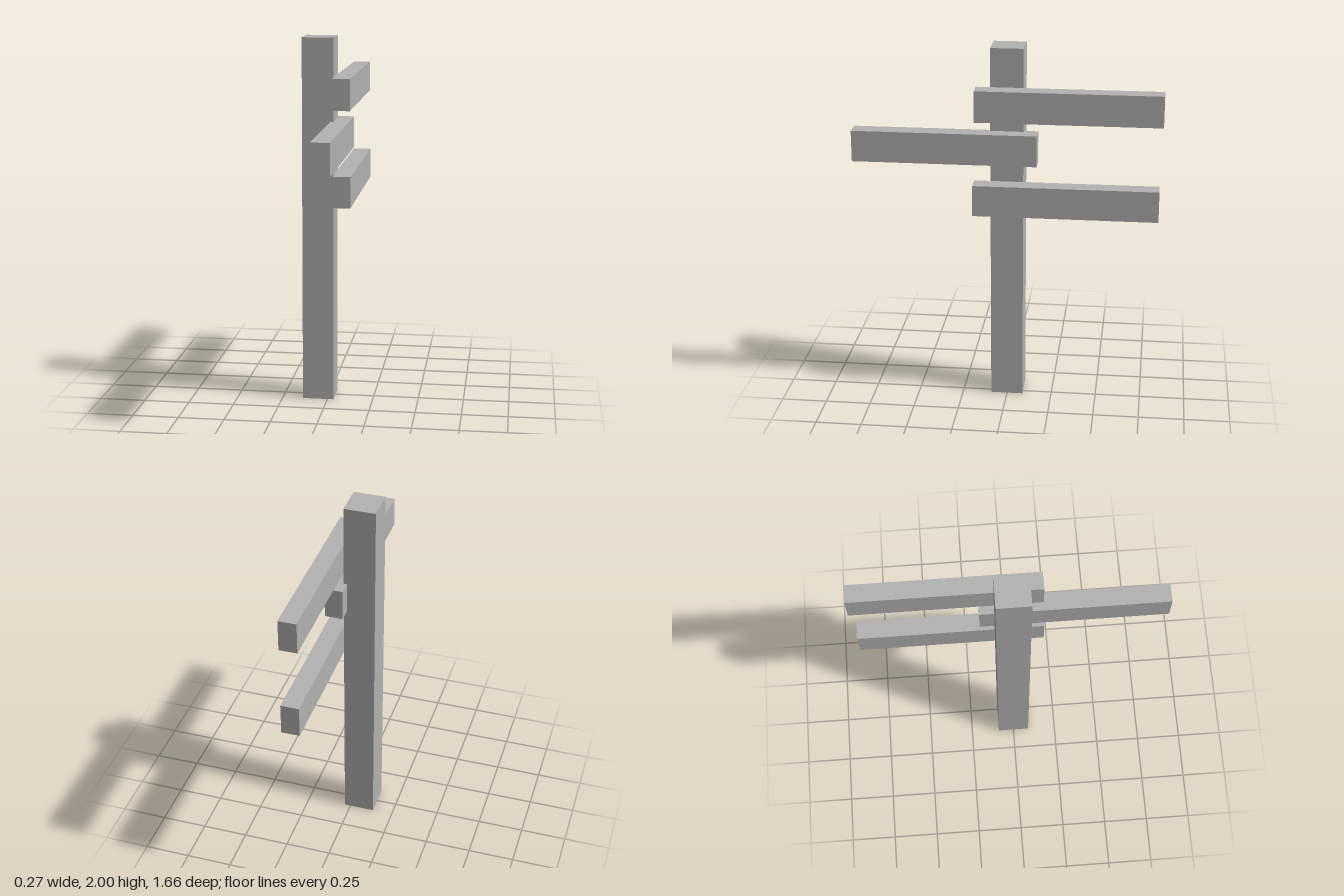
import * as THREE from 'three';

const material = new THREE.MeshStandardMaterial({ color: 0xb2b2b2 });
material.name = 'plain grey';

// Box given by its lower and upper limits on each axis
function block(name, [x0, x1], [y0, y1], [z0, z1]) {
  const mesh = new THREE.Mesh(new THREE.BoxGeometry(x1 - x0, y1 - y0, z1 - z0), material);
  mesh.position.set((x0 + x1) / 2, (y0 + y1) / 2, (z0 + z1) / 2);
  mesh.name = name;
  return mesh;
}

export function createModel() {
  const model = new THREE.Group();
  model.name = 'signpost';

  // Square upright post
  model.add(block('post', [-0.137, 0.034], [0, 2], [-0.088, 0.09]));

  // Three direction boards on the left face of the post
  model.add(block('topBoard', [0.034, 0.13], [1.62, 1.79], [-0.83, 0.166]));
  model.add(block('middleBoard', [0.016, 0.114], [1.38, 1.55], [-0.166, 0.83]));
  model.add(block('bottomBoard', [0.038, 0.136], [1.1, 1.27], [-0.82, 0.177]));

  return model;
}
